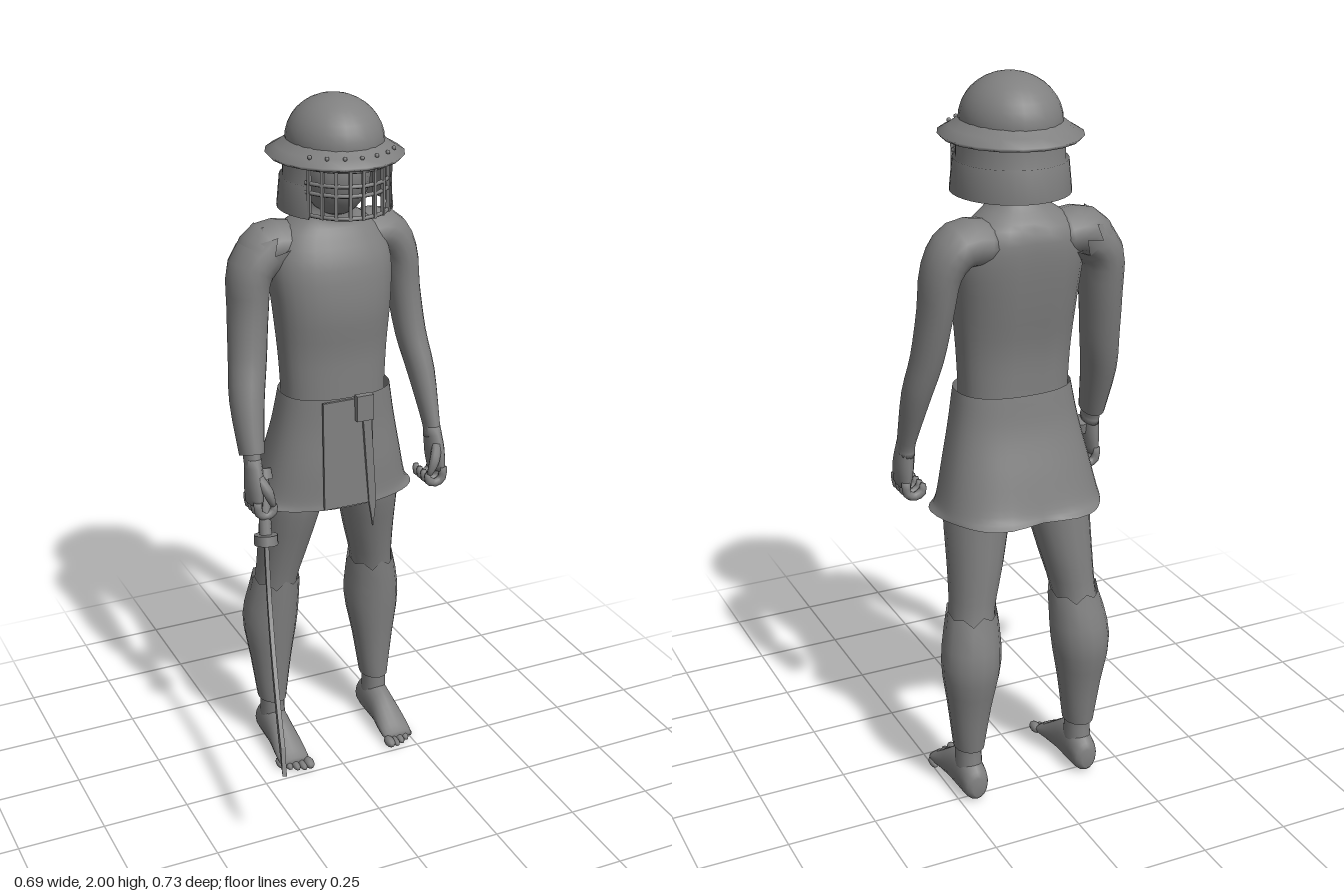
import * as THREE from 'three';

const grey = new THREE.MeshStandardMaterial({ color: 0x808080, side: THREE.DoubleSide });
grey.name = 'plain grey';
const Y = new THREE.Vector3(0, 1, 0), Z = new THREE.Vector3(0, 0, 1), DOWN = new THREE.Vector3(0, -1, 0);

function add(parent, name, geometry, x = 0, y = 0, z = 0) {
  const mesh = new THREE.Mesh(geometry, grey);
  mesh.name = name;
  mesh.position.set(x, y, z);
  parent.add(mesh);
  return mesh;
}

// Smooth skin through sections [x, y, z, radiusU, radiusV].
// axis fixes the section plane; otherwise sections follow the path.
function loft(sections, { n = 16, steps = 3, axis, ref = Z, power = 2, caps = true, warp } = {}) {
  const path = new THREE.CatmullRomCurve3(sections.map(s => new THREE.Vector3(s[0], s[1], s[2])), false, 'catmullrom');
  const radii = new THREE.CatmullRomCurve3(sections.map(s => new THREE.Vector3(s[3], s[4], 0)), false, 'catmullrom');
  const rows = (sections.length - 1) * steps, pos = [], idx = [];
  const bend = c => Math.sign(c) * Math.abs(c) ** (2 / power);
  for (let i = 0; i <= rows; i++) {
    const t = i / rows, c = path.getPoint(t), r = radii.getPoint(t);
    const T = axis ? axis.clone() : path.getTangent(t);
    const V = ref.clone().addScaledVector(T, -ref.dot(T)).normalize();
    const U = V.clone().cross(T);
    for (let j = 0; j < n; j++) {
      const a = j / n * Math.PI * 2;
      const p = c.clone().addScaledVector(U, bend(Math.cos(a)) * r.x).addScaledVector(V, bend(Math.sin(a)) * r.y);
      if (warp) warp(p, t, j, T);
      pos.push(p.x, p.y, p.z);
      const k = (j + 1) % n, A = i * n + j, B = i * n + k;
      if (i < rows) idx.push(A, B, A + n, B, B + n, A + n);
    }
  }
  if (caps) {
    for (const [row, flip] of [[0, true], [rows, false]]) {
      const c = path.getPoint(row / rows), m = pos.length / 3;
      pos.push(c.x, c.y, c.z);
      for (let j = 0; j < n; j++) {
        const A = row * n + j, B = row * n + (j + 1) % n;
        idx.push(m, flip ? B : A, flip ? A : B);
      }
    }
  }
  const g = new THREE.BufferGeometry();
  g.setAttribute('position', new THREE.Float32BufferAttribute(pos, 3));
  g.setIndex(idx);
  g.computeVertexNormals();
  return g;
}

const lathe = (pts, segments, start, length) =>
  new THREE.LatheGeometry(pts.map(p => new THREE.Vector2(...p)), segments, start, length);

// Helmet with brim, neck guard and barred face guard
function makeHelmet() {
  const helmet = new THREE.Group();
  helmet.name = 'helmet';
  helmet.position.z = -0.13;
  const dome = [[0.128, 1.86], [0.13, 1.88]];
  for (let i = 1; i <= 9; i++) {
    const a = i / 9 * Math.PI / 2;
    dome.push([0.13 * Math.cos(a), 1.88 + 0.12 * Math.sin(a)]);
  }
  add(helmet, 'dome', lathe(dome, 28)).scale.z = 1.14;
  add(helmet, 'brim', lathe([[0.125, 1.84], [0.175, 1.838], [0.184, 1.848], [0.155, 1.865], [0.125, 1.888]], 20)).scale.z = 1.1;
  for (let i = -3; i <= 3; i++) {
    const a = i * 0.29;
    add(helmet, 'rivet', new THREE.SphereGeometry(0.006, 8, 6), 0.158 * Math.sin(a), 1.867, 0.172 * Math.cos(a));
  }
  const start = 0.9, span = Math.PI * 2 - 1.8;
  add(helmet, 'neckGuard', lathe([[0.138, 1.79], [0.146, 1.70], [0.155, 1.70], [0.147, 1.785], [0.139, 1.785], [0.137, 1.85]],
    24, start, span)).scale.z = 1.07;
  const ring = (y, r = 0.006) => {
    const pts = [];
    for (let i = -6; i <= 6; i++) pts.push(new THREE.Vector3(0.137 * Math.sin(i * 0.18), y, 0.178 * Math.cos(i * 0.18)));
    add(helmet, 'faceGuardRail', new THREE.TubeGeometry(new THREE.CatmullRomCurve3(pts), 24, r, 6));
  };
  [1.71, 1.77, 1.795, 1.835].forEach(y => ring(y));
  for (let i = -4; i <= 4; i++) {
    const a = i * 0.25;
    add(helmet, 'faceGuardBar', new THREE.BoxGeometry(0.008, 0.14, 0.01), 0.139 * Math.sin(a), 1.775, 0.18 * Math.cos(a))
      .rotation.y = a;
  }
  add(helmet, 'head', new THREE.SphereGeometry(1, 20, 14), 0, 1.80, 0).scale.set(0.092, 0.125, 0.115);
  return helmet;
}

// One arm with its curled hand; side is +1 for left, -1 for right
function makeArm(side) {
  const arm = new THREE.Group();
  arm.name = side > 0 ? 'leftArm' : 'rightArm';
  const flip = rows => rows.map(([x, ...rest]) => [x * side, ...rest]);
  const limb = flip([[0.09, 1.59, -0.195, 0.06, 0.08], [0.175, 1.592, -0.2, 0.062, 0.08], [0.222, 1.53, -0.195, 0.052, 0.072],
    [0.236, 1.42, -0.185, 0.046, 0.06], [0.25, 1.29, -0.16, 0.043, 0.05], [0.268, 1.18, -0.125, 0.038, 0.046],
    [0.277, 1.04, -0.075, 0.024, 0.034], [0.277, 1.0, -0.065, 0.024, 0.036]]);
  add(arm, 'limb', loft(limb));
  if (side < 0) {
    const cover = limb.slice(1, 7).map(([x, y, z, u, v]) => [x, y, z, u + 0.01, v + 0.009]);
    cover[0][0] += 0.02;
    add(arm, 'tornSleeve', loft(cover, {
      n: 18, caps: false,
      warp: (p, t, j, T) => { if (t === 0) p.addScaledVector(T, j % 2 ? 0.03 : -0.012); },
    }));
  }
  add(arm, 'palm', loft(flip([[0.277, 1.03, -0.068, 0.022, 0.032], [0.28, 0.96, -0.055, 0.025, 0.046],
    [0.283, 0.905, -0.05, 0.019, 0.046]]), { n: 12 }));
  for (let i = 0; i < 4; i++) {
    const z = -0.088 + i * 0.025, r = 0.0125;
    add(arm, 'finger', loft(flip([[0.287, 0.92, z, r, r], [0.284, 0.887, z, r, r], [0.262, 0.875, z, r, r],
      [0.241, 0.886, z, r, r], [0.238, 0.908, z, 0.008, 0.008]]), { n: 8, steps: 2 }));
  }
  add(arm, 'thumb', loft(flip([[0.275, 0.985, -0.03, 0.014, 0.014], [0.256, 0.945, -0.008, 0.015, 0.014],
    [0.242, 0.905, -0.01, 0.008, 0.008]]), { n: 8 }));
  return arm;
}

// One leg with shin guard and bare foot
function makeLeg(side) {
  const leg = new THREE.Group();
  leg.name = side > 0 ? 'leftLeg' : 'rightLeg';
  const flip = rows => rows.map(([x, ...rest]) => [x * side, ...rest]);
  add(leg, 'limb', loft(flip([[0.10, 1.0, -0.165, 0.09, 0.10], [0.117, 0.85, -0.17, 0.09, 0.10], [0.135, 0.7, -0.195, 0.075, 0.085],
    [0.154, 0.57, -0.215, 0.061, 0.072], [0.165, 0.45, -0.235, 0.068, 0.073], [0.17, 0.25, -0.23, 0.045, 0.05],
    [0.171, 0.16, -0.222, 0.036, 0.043], [0.171, 0.07, -0.225, 0.037, 0.05]]), { axis: DOWN }));
  add(leg, 'shinGuard', loft(flip([[0.155, 0.57, -0.217, 0.07, 0.078], [0.167, 0.43, -0.238, 0.082, 0.086],
    [0.17, 0.29, -0.232, 0.061, 0.067], [0.171, 0.155, -0.225, 0.042, 0.052]]), {
    axis: DOWN, caps: false,
    warp: (p, t, j) => { if (t === 0) p.y += [0.012, -0.015, 0.006, -0.004][j % 4]; },
  }));
  add(leg, 'foot', loft(flip([[0.171, 0.05, -0.293, 0.018, 0.03], [0.171, 0.055, -0.275, 0.036, 0.05], [0.171, 0.065, -0.225, 0.04, 0.066],
    [0.172, 0.055, -0.155, 0.041, 0.055], [0.172, 0.037, -0.10, 0.046, 0.036], [0.172, 0.024, -0.06, 0.047, 0.021],
    [0.172, 0.02, -0.04, 0.042, 0.014]]), { axis: Z, ref: Y, warp: p => { p.y = Math.max(p.y, 0.002); } }));
  for (let i = 0; i < 5; i++) {
    const r = i ? 0.011 : 0.015;
    add(leg, 'toe', new THREE.SphereGeometry(1, 10, 8), side * (0.135 + i * 0.0195), r + 0.001, -0.028 - i * i * 0.0024)
      .scale.set(r, r, 0.026);
  }
  return leg;
}

// Curved sword, drawn in a vertical plane that is then turned
function makeSword() {
  const sword = new THREE.Group();
  sword.name = 'sword';
  sword.position.x = -0.235;
  sword.rotation.y = Math.atan2(-0.96, -0.282);
  const v = list => list.map(p => new THREE.Vector2(...p));
  const shape = new THREE.Shape();
  shape.moveTo(0.015, 0.81);
  shape.splineThru(v([[0.07, 0.66], [0.165, 0.525], [0.27, 0.425], [0.36, 0.362]]));
  shape.lineTo(0.39, 0.29);
  shape.splineThru(v([[0.30, 0.343], [0.19, 0.437], [0.09, 0.56], [0.027, 0.68], [-0.022, 0.81]]));
  add(sword, 'blade', new THREE.ExtrudeGeometry(shape, { depth: 0.012, bevelEnabled: false, curveSegments: 6 }), 0, 0, -0.006);
  const hilt = new THREE.Group();
  hilt.name = 'hilt';
  hilt.position.y = 0.81;
  hilt.rotation.z = 0.33;
  sword.add(hilt);
  add(hilt, 'guard', new THREE.CylinderGeometry(0.056, 0.056, 0.028, 12)).scale.z = 0.6;
  add(hilt, 'grip', new THREE.CylinderGeometry(0.017, 0.017, 0.19, 10), 0, 0.09, 0);
  add(hilt, 'pommel', new THREE.CylinderGeometry(0.024, 0.028, 0.03, 10), 0, 0.185, 0);
  return sword;
}

export function createModel() {
  const model = new THREE.Group();
  model.name = 'armouredFighter';
  const body = new THREE.Group();
  body.name = 'body';
  body.position.x = 0.035;
  model.add(body);

  // Torso and neck, with a groove down the spine
  add(body, 'torso', loft([[0, 0.92, -0.17, 0.13, 0.10], [0, 1.1, -0.15, 0.148, 0.10], [0, 1.2, -0.148, 0.152, 0.10],
    [0, 1.3, -0.15, 0.158, 0.103], [0, 1.42, -0.155, 0.168, 0.12], [0, 1.54, -0.17, 0.176, 0.122], [0, 1.615, -0.185, 0.152, 0.105],
    [0, 1.655, -0.18, 0.11, 0.078], [0, 1.69, -0.165, 0.065, 0.062], [0, 1.74, -0.153, 0.055, 0.06], [0, 1.8, -0.145, 0.055, 0.06]],
  { n: 28, axis: Y, power: 2.3, warp: p => {
    if (p.z < -0.17 && p.y < 1.64) p.z += 0.012 * Math.exp(-((p.x / 0.035) ** 2));
  } }));

  // Kilt with a wavy flared hem
  add(body, 'kilt', loft([[0, 1.18, -0.14, 0.16, 0.112], [0, 1.08, -0.148, 0.178, 0.12], [0, 0.97, -0.162, 0.202, 0.14],
    [0, 0.88, -0.175, 0.222, 0.154], [0, 0.85, -0.18, 0.234, 0.163]], {
    n: 40, steps: 4, axis: DOWN, power: 2.4, caps: false,
    warp: (p, t) => {
      const a = Math.atan2(p.x, -(p.z + 0.175)), back = Math.max(0, Math.cos(a * 0.6));
      const k = 1 + 0.07 * t ** 6 * back * (0.5 - Math.cos(a * 5));
      p.x *= k;
      p.z = -0.175 + (p.z + 0.175) * k;
    },
  }));
  const flap = add(body, 'kiltFlap', new THREE.BoxGeometry(0.15, 0.32, 0.008), -0.01, 1.015, -0.021);
  flap.rotation.x = -0.025;
  add(body, 'belt buckle', new THREE.BoxGeometry(0.05, 0.075, 0.02), 0.035, 1.15, -0.012);
  const strap = new THREE.Shape([[0.03, 1.12], [0.055, 1.12], [0.072, 0.86], [0.063, 0.78], [0.05, 0.86]]
    .map(p => new THREE.Vector2(...p)));
  add(body, 'beltStrap', new THREE.ExtrudeGeometry(strap, { depth: 0.009, bevelEnabled: false }), 0, 0, -0.016);

  for (const side of [1, -1]) body.add(makeArm(side), makeLeg(side));
  body.add(makeHelmet());
  model.add(makeSword());
  return model;
}
